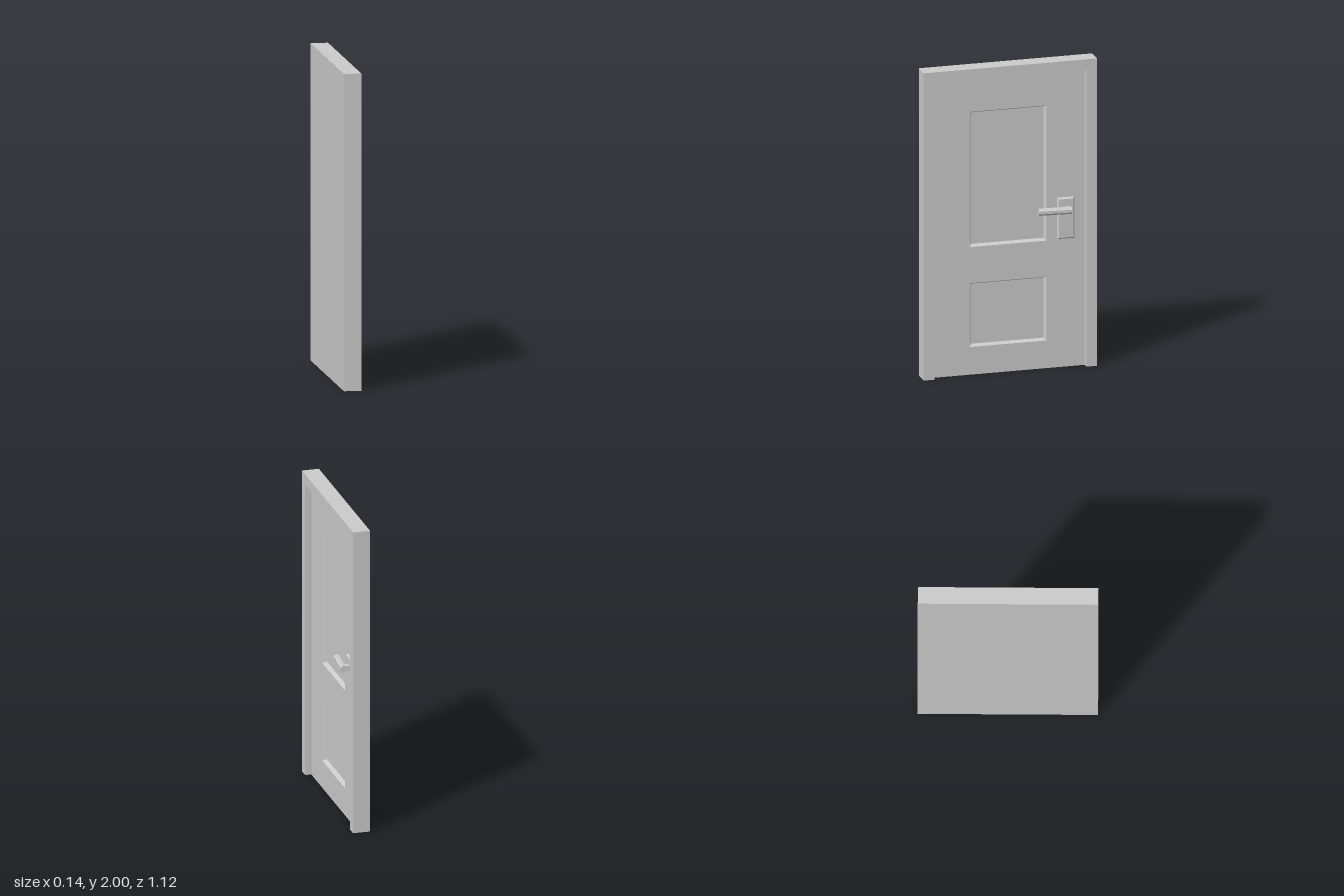
import * as THREE from 'three';

const material = new THREE.MeshStandardMaterial({ color: 0xcccccc, flatShading: true });

// Panel openings in the leaf, seen from +x (u = -z): [u0, u1, y0, y1]
const panels = [[-0.25, 0.245, 0.83, 1.71], [-0.25, 0.245, 0.18, 0.595]];
const leafFront = 0, panelFront = -0.027, back = -0.07, bevel = 0.012;

const polygon = (pts) => new THREE.Shape(pts.map(([u, y]) => new THREE.Vector2(u, y)));
const rect = (u0, u1, y0, y1) => [[u0, y0], [u1, y0], [u1, y1], [u0, y1]];

function extrude(shape, depth) {
  return new THREE.ExtrudeGeometry(shape, { depth, bevelEnabled: false });
}

// Applies fn to every vertex, then refreshes the normals
function moveVertices(geometry, fn) {
  const p = geometry.attributes.position, v = new THREE.Vector3();
  for (let i = 0; i < p.count; i++) {
    v.fromBufferAttribute(p, i);
    fn(v);
    p.setXYZ(i, v.x, v.y, v.z);
  }
  geometry.computeVertexNormals();
  return geometry;
}

export function createModel() {
  const door = new THREE.Group();
  door.name = 'door';
  const add = (name, geometry, parent = door) => {
    const mesh = new THREE.Mesh(geometry, material);
    mesh.name = name;
    parent.add(mesh);
  };
  // Turns a face-on geometry so that its depth points along +x
  const faceRight = (geometry, x) => geometry.rotateY(Math.PI / 2).translate(x, 0, 0);

  // Frame around the leaf, open at the bottom
  const frame = polygon([[-0.56, 0], [-0.49, 0], [-0.49, 1.93], [0.49, 1.93],
    [0.49, 0], [0.56, 0], [0.56, 2], [-0.56, 2]]);
  add('frame', faceRight(extrude(frame, 0.11), back));

  // Leaf core, whose front shows as the sunken panels
  const outline = rect(-0.49, 0.49, 0, 1.93);
  add('leafCore', faceRight(extrude(polygon(outline), panelFront - back), back));

  // Leaf face with two openings whose edges slope inward
  const face = polygon(outline);
  for (const p of panels) face.holes.push(polygon(rect(...p).reverse()));
  const faceGeometry = moveVertices(extrude(face, leafFront - panelFront), (v) => {
    if (v.z > 0.001 || Math.abs(v.x) > 0.4) return;
    const [u0, u1, y0, y1] = v.y > 0.7 ? panels[0] : panels[1];
    v.x += v.x < (u0 + u1) / 2 ? bevel : -bevel;
    v.y += v.y < (y0 + y1) / 2 ? bevel : -bevel;
  });
  add('leafFace', faceRight(faceGeometry, panelFront));

  // Handle: bevelled back plate, neck and slanting lever
  const handle = new THREE.Group();
  handle.name = 'handle';
  door.add(handle);

  const plate = moveVertices(new THREE.BoxGeometry(0.012, 0.27, 0.112), (v) => {
    if (v.x < 0) return;
    v.y -= Math.sign(v.y) * 0.01;
    v.z -= Math.sign(v.z) * 0.01;
  });
  add('backPlate', plate.translate(0.006, 0.968, -0.368), handle);

  add('neck', new THREE.BoxGeometry(0.04, 0.032, 0.04).translate(0.025, 1.03, -0.367), handle);

  const section = polygon([[-0.033, -0.02], [-0.014, -0.022], [0, -0.009],
    [0, 0.009], [-0.014, 0.022], [-0.033, 0.02]]);
  const lever = moveVertices(extrude(section, 0.21), (v) => {
    v.x += 0.07 - 0.015 * (v.z / 0.21);
    v.y += 1.03;
    v.z -= 0.392;
  });
  add('lever', lever, handle);

  return door;
}
